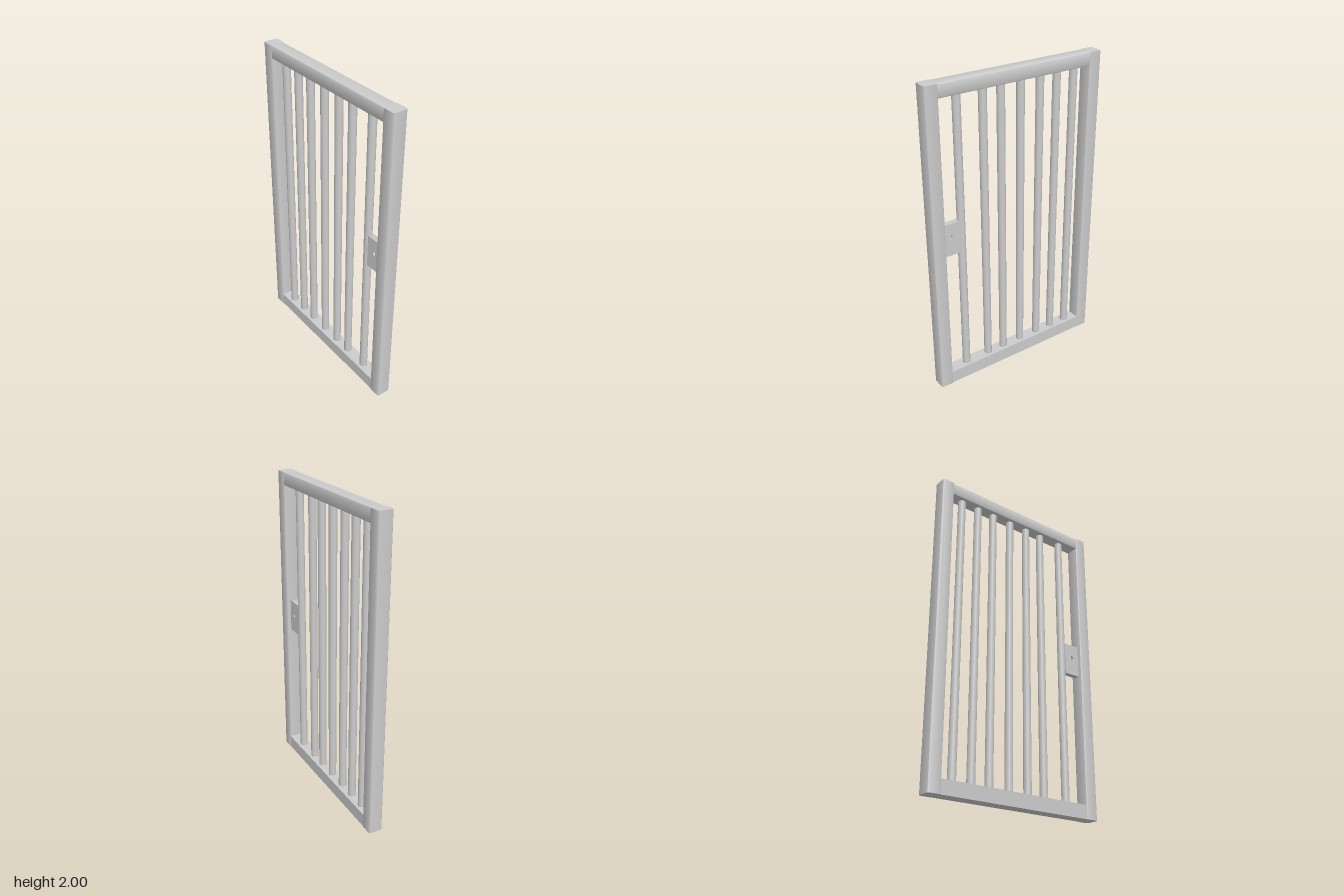
import * as THREE from 'three';
import { toCreasedNormals } from 'three/addons/utils/BufferGeometryUtils.js';

const grey = new THREE.MeshStandardMaterial({ color: 0xcccccc });

function roundedRect(w, h, r) {
  const s = new THREE.Shape();
  const x = w / 2 - r, y = h / 2 - r;
  s.absarc(x, y, r, 0, Math.PI / 2);
  s.absarc(-x, y, r, Math.PI / 2, Math.PI);
  s.absarc(-x, -y, r, Math.PI, Math.PI * 1.5);
  s.absarc(x, -y, r, Math.PI * 1.5, Math.PI * 2);
  s.closePath();
  return s;
}

// Extrudes a shape along z, centred, keeping sharp ends and smooth corners
function prism(shape, length) {
  const geo = new THREE.ExtrudeGeometry(shape, { depth: length, bevelEnabled: false, curveSegments: 5 });
  geo.translate(0, 0, -length / 2);
  return toCreasedNormals(geo, 0.6);
}

export function createModel() {
  const gate = new THREE.Group();
  gate.name = 'barredGate';

  const add = (name, geo, x, y) => {
    const mesh = new THREE.Mesh(geo, grey);
    mesh.name = name;
    mesh.position.set(x, y, 0);
    gate.add(mesh);
    return mesh;
  };

  // Side posts with rounded vertical edges
  const postGeo = prism(roundedRect(0.084, 0.092, 0.011), 2).rotateX(-Math.PI / 2);
  for (const side of [-1, 1]) add(side > 0 ? 'leftPost' : 'rightPost', postGeo, side * 0.558, 1);

  // Top and bottom rails between the posts
  const railLength = 1.06;
  add('topRail', prism(roundedRect(0.086, 0.082, 0.006), railLength).rotateY(Math.PI / 2), 0, 1.959);
  add('bottomRail', new THREE.BoxGeometry(railLength, 0.086, 0.086), 0, 0.043);

  // Upright round bars
  const barGeo = new THREE.CylinderGeometry(0.025, 0.025, 1.87, 24);
  [-0.428, -0.303, -0.181, -0.043, 0.094, 0.216, 0.385].forEach((x, i) => add(`bar${i + 1}`, barGeo, x, 1.0));

  // Lock plate with an oval keyhole right through it
  const plate = roundedRect(0.115, 0.212, 0.003);
  const keyhole = new THREE.Path();
  keyhole.absellipse(0.002, 0.013, 0.009, 0.016, 0, Math.PI * 2, true);
  plate.holes.push(keyhole);
  add('lockPlate', prism(plate, 0.036), 0.463, 1.041);

  return gate;
}
